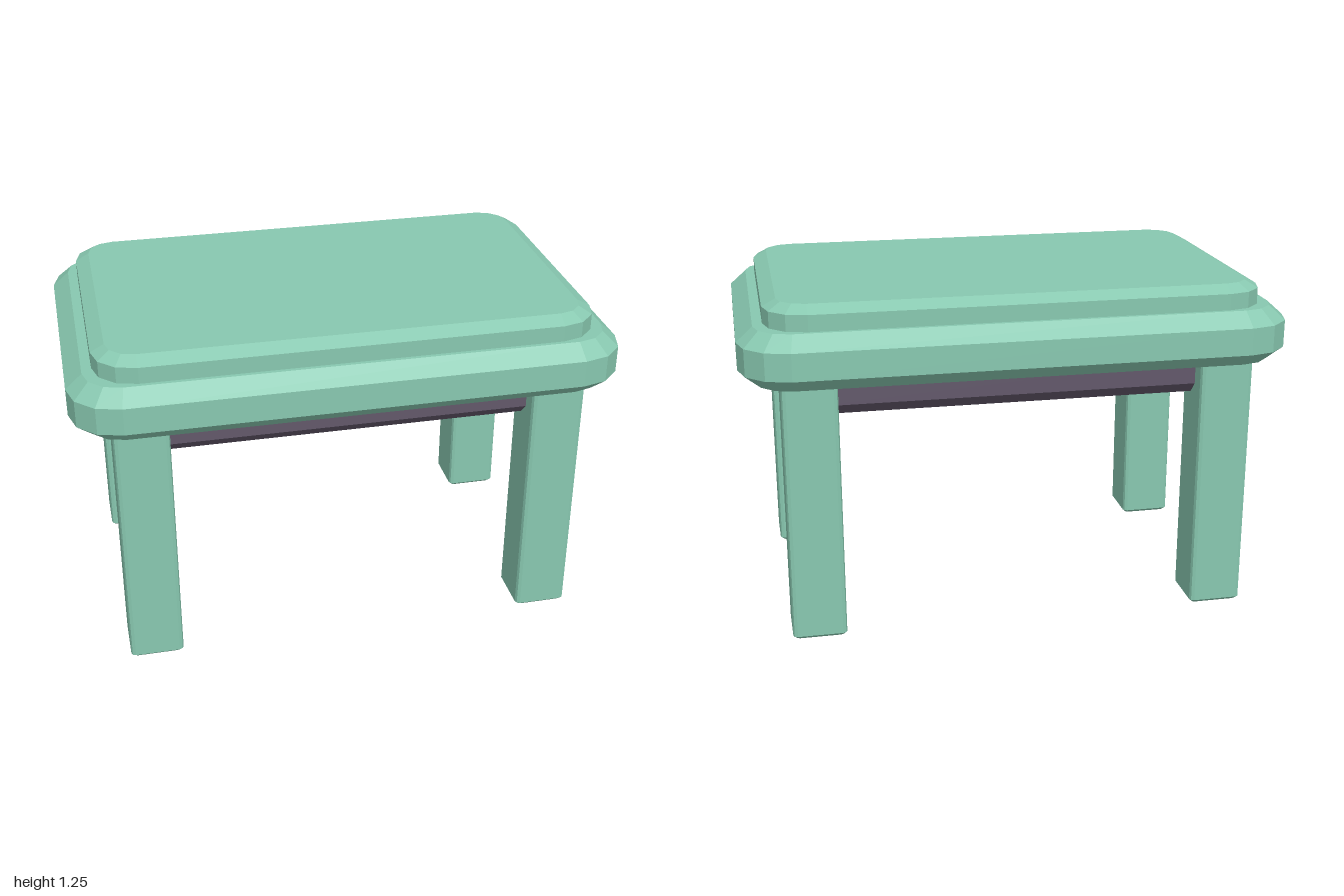
import * as THREE from 'three';

// Solid stacked from rounded-rectangle rings: [y, halfX, halfZ, cornerRadius]
function roundedLoft(rings, segments) {
  const pos = [], index = [];
  const n = 4 * (segments + 1);
  for (const [y, hx, hz, r] of rings) {
    for (let q = 0; q < 4; q++) {
      const sx = q === 0 || q === 3 ? 1 : -1;
      const sz = q < 2 ? 1 : -1;
      for (let s = 0; s <= segments; s++) {
        const a = (q + s / segments) * Math.PI / 2;
        pos.push(sx * (hx - r) + r * Math.cos(a), y, sz * (hz - r) + r * Math.sin(a));
      }
    }
  }
  const last = rings.length - 1;
  for (let i = 0; i < last; i++) {
    for (let j = 0; j < n; j++) {
      const k = (j + 1) % n;
      const a = i * n + j, b = i * n + k, c = a + n, d = b + n;
      index.push(a, c, b, b, c, d);
    }
  }
  // Flat end caps
  for (let j = 1; j < n - 1; j++) {
    index.push(0, j, j + 1);
    index.push(last * n, last * n + j + 1, last * n + j);
  }
  const indexed = new THREE.BufferGeometry();
  indexed.setAttribute('position', new THREE.Float32BufferAttribute(pos, 3));
  indexed.setIndex(index);
  const geometry = indexed.toNonIndexed();
  geometry.computeVertexNormals();
  return geometry;
}

export function createModel() {
  const model = new THREE.Group();
  model.name = 'table';
  const teal = new THREE.MeshStandardMaterial({ color: 0x88c8b0, flatShading: true });
  teal.name = 'teal';
  const plum = new THREE.MeshStandardMaterial({ color: 0x62586a, flatShading: true });
  plum.name = 'dark plum';

  const add = (name, geometry, material, x = 0, z = 0) => {
    const mesh = new THREE.Mesh(geometry, material);
    mesh.name = name;
    mesh.position.set(x, 0, z);
    model.add(mesh);
  };

  // Chamfered table top
  add('tableTop', roundedLoft([
    [0.96, 0.94, 0.57, 0.13],
    [1.01, 1.0, 0.625, 0.18],
    [1.11, 1.0, 0.625, 0.18],
    [1.163, 0.94, 0.57, 0.13],
  ], 3), teal);

  // Raised slab on top
  add('topSlab', roundedLoft([
    [1.15, 0.905, 0.555, 0.15],
    [1.223, 0.905, 0.555, 0.15],
    [1.25, 0.855, 0.505, 0.1],
  ], 3), teal);

  // Dark apron between the legs
  add('apron', roundedLoft([
    [0.828, 0.81, 0.44, 0.06],
    [0.87, 0.85, 0.48, 0.1],
    [0.97, 0.85, 0.48, 0.1],
  ], 3), plum);

  // Four square legs with softened edges
  const leg = roundedLoft([
    [0, 0.087, 0.087, 0.012],
    [0.012, 0.099, 0.099, 0.016],
    [0.97, 0.099, 0.099, 0.016],
  ], 2);
  for (const x of [-1, 1]) {
    for (const z of [-1, 1]) {
      add(`${z > 0 ? 'front' : 'back'}${x > 0 ? 'Left' : 'Right'}Leg`, leg, teal, x * 0.76, z * 0.453);
    }
  }
  return model;
}
